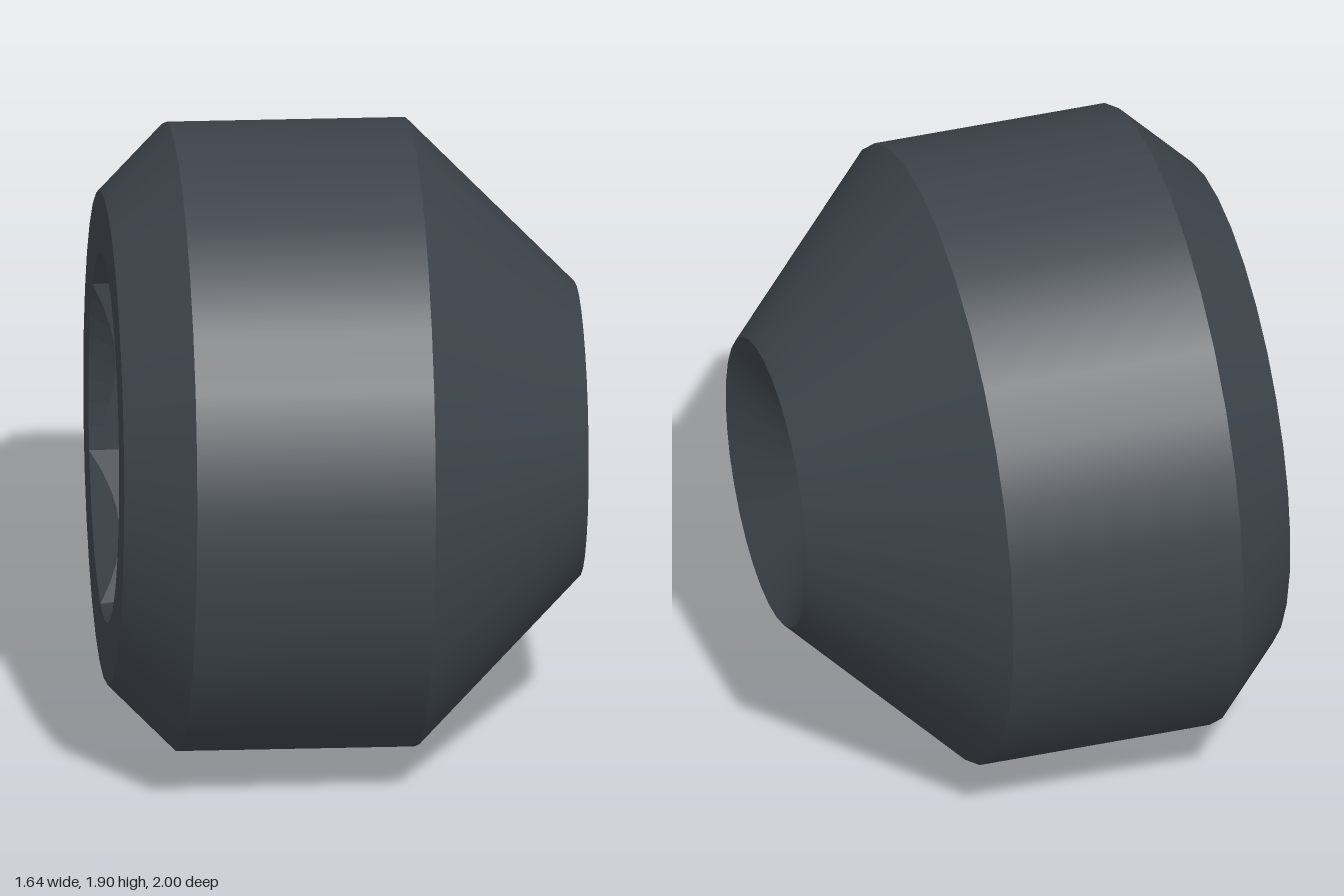
import * as THREE from 'three';

const SIDES = 32;
const BACK = -0.674;        // axial position of the socket end
const SOCKET_R = 0.555;     // corner radius of the hexagonal socket
const SOCKET_DEPTH = 0.76;
const STEPS = 8;            // divisions per socket flat

// Band of revolution about the x axis, between [axial, radius] pairs
function band(a, b) {
  const points = [a, b].map(([x, r]) => new THREE.Vector2(r, x));
  return new THREE.LatheGeometry(points, SIDES).rotateZ(-Math.PI / 2);
}

function circle(r, n) {
  return Array.from({ length: n }, (_, i) => {
    const t = (i / n) * Math.PI * 2;
    return new THREE.Vector2(r * Math.cos(t), r * Math.sin(t));
  });
}

// Flat ring around the socket mouth
function endFace() {
  const shape = new THREE.Shape(circle(0.742, SIDES));
  shape.holes.push(new THREE.Path(circle(SOCKET_R, STEPS * 6)));
  return new THREE.ShapeGeometry(shape).rotateY(-Math.PI / 2).translate(BACK, 0, 0);
}

// Hexagonal socket: a 45 degree countersink cut by the flats, walls and floor
function socket() {
  const flat = Math.PI / 3;
  const rings = (k, i) => {
    const rel = (i / STEPS - 0.5) * flat;
    const t = k * flat + rel;
    const rho = SOCKET_R * Math.cos(flat / 2) / Math.cos(rel);
    const at = (depth, r) => [BACK + depth, r * Math.sin(t), r * Math.cos(t)];
    return [at(0, SOCKET_R), at(SOCKET_R - rho, rho), at(SOCKET_DEPTH, rho), at(SOCKET_DEPTH, 0)];
  };
  const pos = [];
  for (let k = 0; k < 6; k++) {
    for (let i = 0; i < STEPS; i++) {
      const p = rings(k, i), q = rings(k, i + 1);
      for (let j = 0; j < 3; j++) {
        pos.push(...p[j], ...q[j], ...p[j + 1]);
        if (j < 2) pos.push(...q[j], ...q[j + 1], ...p[j + 1]);
      }
    }
  }
  const g = new THREE.BufferGeometry();
  g.setAttribute('position', new THREE.Float32BufferAttribute(pos, 3));
  g.computeVertexNormals();
  return g;
}

export function createModel() {
  const steel = new THREE.MeshStandardMaterial({ color: 0x3d444b });
  steel.name = 'dark steel';

  const screw = new THREE.Group();
  screw.name = 'setScrew';
  const add = (name, geometry) => {
    const mesh = new THREE.Mesh(geometry, steel);
    mesh.name = name;
    screw.add(mesh);
  };

  add('socketFace', endFace());
  add('hexSocket', socket());
  add('backChamfer', band([BACK, 0.742], [-0.471, 0.945]));
  add('body', band([-0.471, 0.945], [0.246, 0.945]));
  add('pointCone', band([0.246, 0.945], [0.747, 0.442]));
  add('cupRecess', band([0.747, 0.442], [0.495, 0]));

  // Turn the axis slightly towards the front and a touch downwards
  screw.rotation.set(0, -0.209, -0.018);
  screw.position.set(-0.005, 0.952, 0.023);

  const model = new THREE.Group();
  model.name = 'model';
  model.add(screw);
  return model;
}
